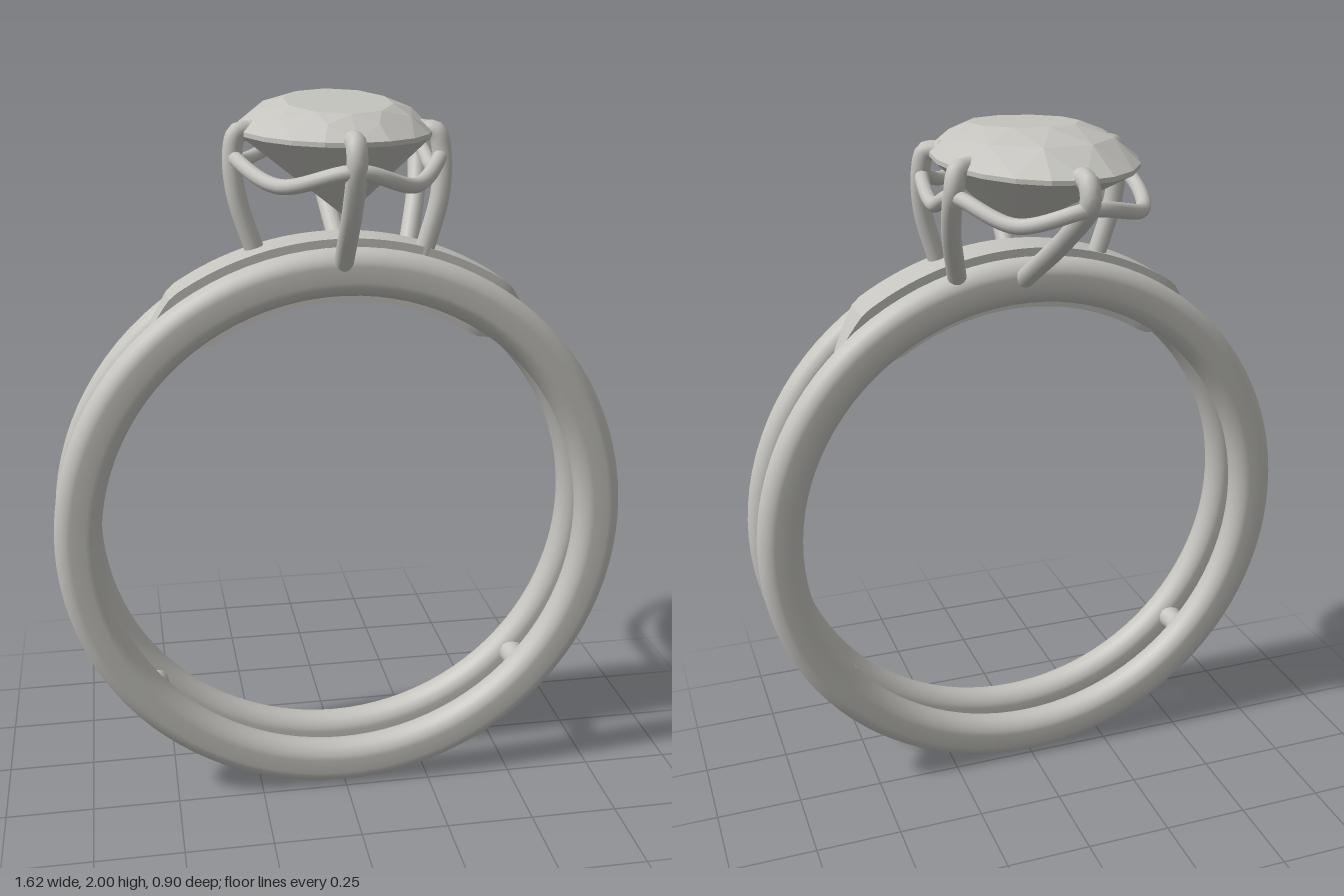
import * as THREE from 'three';
import { toCreasedNormals } from 'three/addons/utils/BufferGeometryUtils.js';
import { ConvexGeometry } from 'three/addons/geometries/ConvexGeometry.js';

const CY = 0.81;      // height of the band centre
const MID_R = 0.745;  // middle radius of the band
const MID_Z = 0.12;   // middle plane between the two bands

export function createModel() {
  const model = new THREE.Group();
  model.name = 'ring';
  const silver = new THREE.MeshStandardMaterial({ color: 0xc4c3be });
  silver.name = 'silver';

  const add = (name, geometry, parent = model) => {
    const mesh = new THREE.Mesh(geometry, silver);
    mesh.name = name;
    parent.add(mesh);
    return mesh;
  };
  const tube = (points, radius, closed = false) => {
    const curve = new THREE.CatmullRomCurve3(points, closed);
    return new THREE.TubeGeometry(curve, closed ? 120 : 32, radius, 12, closed);
  };

  // Two parallel bands with a rounded, slightly tall section
  const section = [];
  for (let i = 0; i <= 24; i++) {
    const a = ((i + 0.5) / 24) * Math.PI * 2;
    section.push(new THREE.Vector2(
      MID_R + 0.015 * Math.sign(Math.cos(a)) + 0.05 * Math.cos(a), 0.05 * Math.sin(a)));
  }
  const bandGeometry = new THREE.LatheGeometry(section, 96).rotateX(Math.PI / 2);
  [['frontBand', 0.2], ['backBand', 0.037]].forEach(([name, z]) => {
    add(name, bandGeometry).position.set(0, CY, z);
  });

  // Bridge: a curved block between the bands, tapering to a point at each end
  const bridge = new THREE.BoxGeometry(2, 2, 2, 48, 1, 1);
  const pos = bridge.attributes.position;
  const full = THREE.MathUtils.degToRad(34), end = THREE.MathUtils.degToRad(49);
  for (let i = 0; i < pos.count; i++) {
    const a = pos.getX(i) * end;
    const size = Math.min(1, Math.max(0.01, (end - Math.abs(a)) / (end - full)));
    const r = MID_R + pos.getY(i) * 0.085 * size;
    pos.setXYZ(i, r * Math.sin(a), CY + r * Math.cos(a), MID_Z + pos.getZ(i) * 0.065 * size);
  }
  add('bridge', toCreasedNormals(bridge, 0.25));

  // Small pins joining the bands near the bottom
  const pinProfile = [[0.042, -0.05], [0.036, -0.02], [0.034, 0], [0.036, 0.02], [0.042, 0.05]]
    .map(([r, y]) => new THREE.Vector2(r, y));
  const pinGeometry = new THREE.LatheGeometry(pinProfile, 16).rotateX(Math.PI / 2);
  [1, -1].forEach((s) => {
    add(s > 0 ? 'leftPin' : 'rightPin', pinGeometry).position.set(s * 0.55, 0.31, MID_Z);
  });

  // Faceted oval stone: table, crown, girdle and an off-centre point below
  const stone = [new THREE.Vector3(0.02, 1.68, 0.09)];
  const loop = (n, rx, rz, cz, height, turn = 0) => {
    for (let i = 0; i < n; i++) {
      const a = ((i + turn) / n) * Math.PI * 2;
      const z = cz + rz * Math.cos(a);
      stone.push(new THREE.Vector3(rx * Math.sin(a), height(z), z));
    }
  };
  loop(20, 0.265, 0.39, -0.005, () => 1.9);
  loop(20, 0.265, 0.39, -0.005, () => 1.912);
  loop(10, 0.212, 0.305, 0.02, (z) => 1.962 - 0.04 * z, 0.5);
  loop(10, 0.145, 0.21, 0.07, (z) => 1.991 - 0.07 * z);
  add('stone', new ConvexGeometry(stone));

  // Claws: [top x, top z, base x, base z], in order around the stone
  const claws = [
    [0, -0.42, 0.02, 0], [0.265, -0.165, 0.205, 0.03], [0.265, 0.145, 0.215, 0.16],
    [-0.01, 0.415, -0.01, 0.22], [-0.28, 0.08, -0.22, 0.09],
  ];
  const setting = new THREE.Group();
  setting.name = 'setting';
  model.add(setting);
  const wire = [];
  claws.forEach(([x, z, bx, bz], i) => {
    const out = new THREE.Vector3(x, 0, z).normalize();
    const at = (t, push, y) => new THREE.Vector3(
      x + (bx - x) * t, y, z + (bz - z) * t).addScaledVector(out, push);
    const tip = at(0, -0.05, 1.912);
    add('claw', tube([tip, at(0, -0.012, 1.908), at(0, 0.003, 1.86),
      at(0.35, 0.018, 1.75), at(1, 0, 1.57)], 0.027), setting);
    add('clawTip', new THREE.SphereGeometry(0.028, 14, 10), setting).position.copy(tip);

    // Gallery wire rises at each claw and dips halfway to the next
    const [nx, nz] = claws[(i + 1) % claws.length];
    const dip = new THREE.Vector2(x / 0.28 + nx / 0.28, z / 0.41 + nz / 0.41).normalize();
    wire.push(at(0, 0, 1.845), new THREE.Vector3(dip.x * 0.28, 1.797, dip.y * 0.395));
  });
  add('galleryWire', tube(wire, 0.02, true), setting);

  return model;
}
